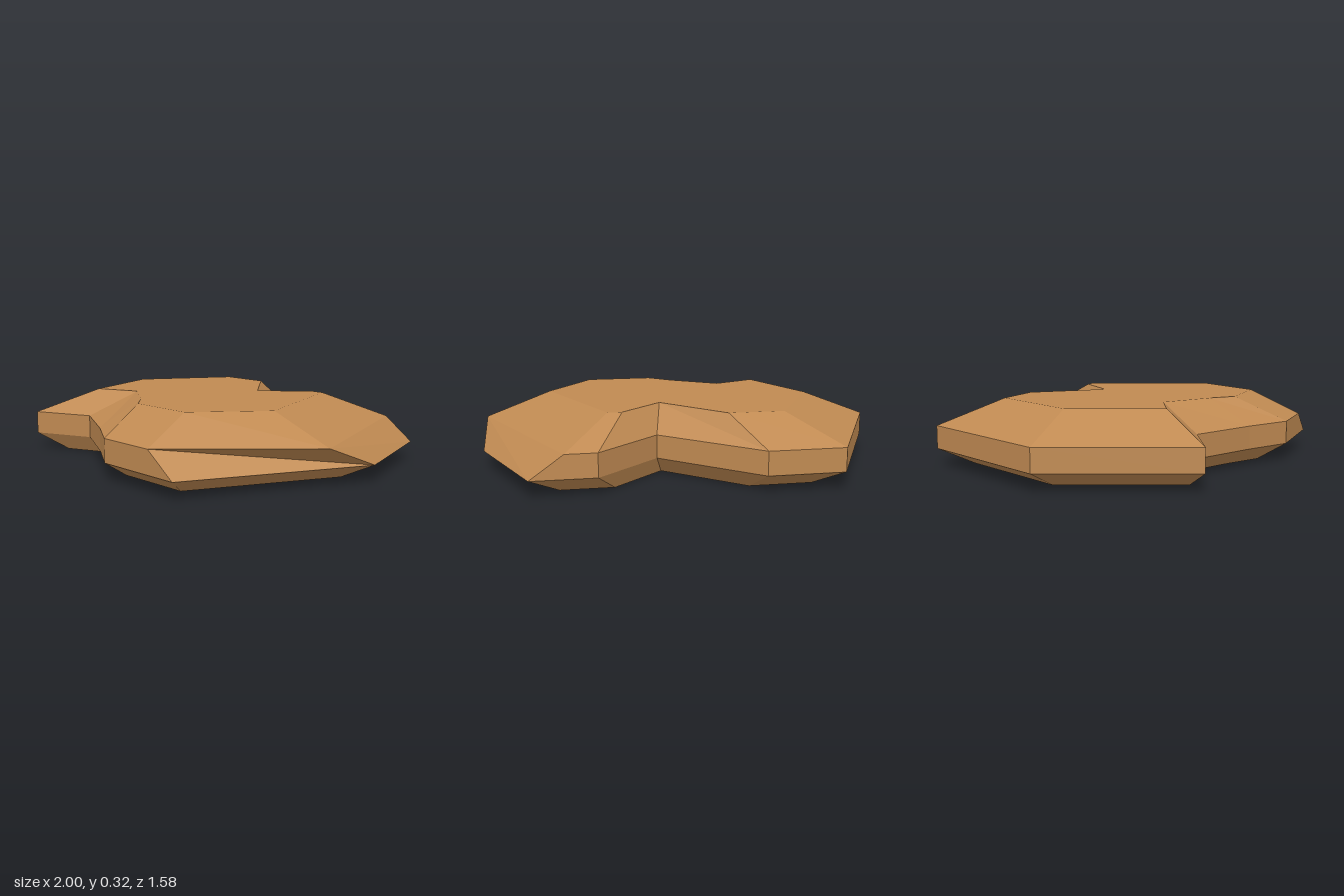
import * as THREE from 'three';

export function createModel() {
  // Outline corners [x, z], clockwise seen from above, starting at the right-hand tip
  const lowerRim = [
    [-1, -0.07], [-0.64, -0.79], [-0.27, -0.79], [0.17, -0.39], [0.48, -0.68], [0.79, -0.68],
    [1, -0.1], [0.635, 0.785], [0.15, 0.785], [-0.08, 0.65], [-0.415, 0.485], [-0.72, 0.62],
  ];
  // The upper rim is the same except for three corners along the left side
  const upperRim = lowerRim.map((p) => [...p]);
  upperRim[5] = [0.63, -0.68];
  upperRim[6] = [0.985, 0.2];
  upperRim[7] = [0.47, 0.785];
  const topOutline = [
    [-0.675, -0.07], [-0.42, -0.53], [-0.15, -0.53], [0.13, -0.22], [0.34, -0.42], [0.41, -0.42],
    [0.655, 0.2], [0.415, 0.53], [0.07, 0.53], [-0.04, 0.43], [-0.28, 0.27], [-0.5, 0.365],
  ];
  const bottomOutline = lowerRim.map(([x, z]) => [x * 0.82, z * 0.82]);

  // Stacked cross-sections: underside, lower rim, upper rim, top
  const heights = [0, 0.085, 0.2, 0.325];
  const loops = [bottomOutline, lowerRim, upperRim, topOutline].map((loop, k) =>
    loop.map(([x, z]) => new THREE.Vector3(x, heights[k], z)));

  const positions = [];
  const tri = (a, b, c) => [a, b, c].forEach((v) => positions.push(v.x, v.y, v.z));

  // Sloped and upright bands between neighbouring sections
  for (let k = 0; k < 3; k++) {
    const low = loops[k], up = loops[k + 1];
    low.forEach((_, i) => {
      const j = (i + 1) % low.length;
      tri(low[i], up[i], up[j]);
      tri(low[i], up[j], low[j]);
    });
  }

  // Flat caps, each triangle turned to face outward
  const cap = (loop, upward) => {
    const flat = loop.map((v) => new THREE.Vector2(v.x, v.z));
    for (const [a, b, c] of THREE.ShapeUtils.triangulateShape(flat, [])) {
      const facesUp = THREE.ShapeUtils.area([flat[a], flat[b], flat[c]]) < 0;
      if (facesUp === upward) tri(loop[a], loop[b], loop[c]);
      else tri(loop[a], loop[c], loop[b]);
    }
  };
  cap(loops[0], false);
  cap(loops[3], true);

  const geometry = new THREE.BufferGeometry();
  geometry.setAttribute('position', new THREE.Float32BufferAttribute(positions, 3));
  geometry.computeVertexNormals();

  const slab = new THREE.Mesh(
    geometry,
    new THREE.MeshStandardMaterial({ color: 0xc08a52, flatShading: true }),
  );
  slab.name = 'rockSlab';

  const group = new THREE.Group();
  group.name = 'flatRock';
  group.add(slab);
  return group;
}
